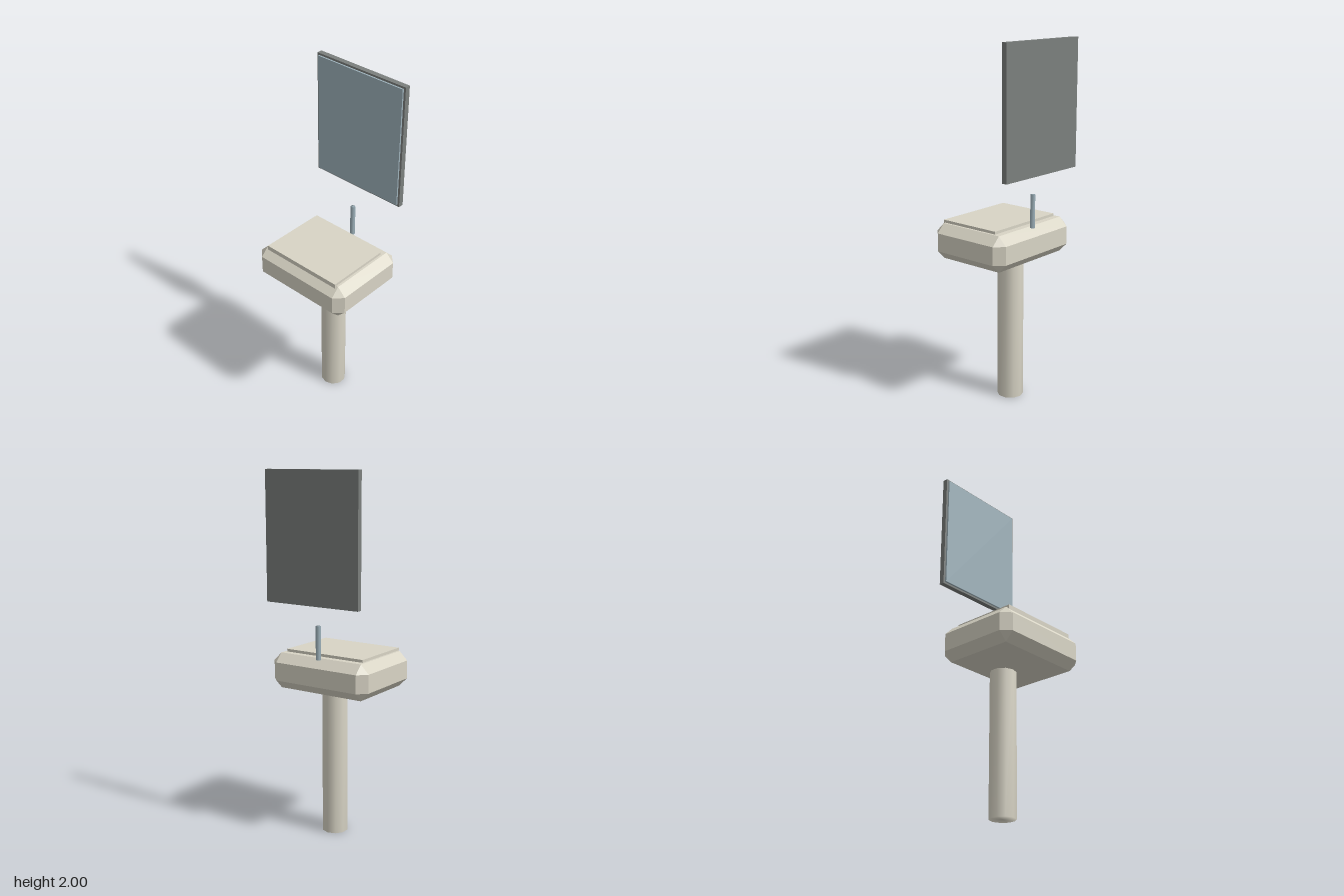
import * as THREE from 'three';
import { mergeVertices } from 'three/addons/utils/BufferGeometryUtils.js';
import { ConvexGeometry } from 'three/addons/geometries/ConvexGeometry.js';

const material = (name, color) => {
  const m = new THREE.MeshStandardMaterial({ color });
  m.name = name;
  return m;
};

// Cylinder with normals shared between the side and the caps
function softCylinder(radius, height, sides) {
  let g = new THREE.CylinderGeometry(radius, radius, height, sides);
  g.deleteAttribute('uv');
  g.deleteAttribute('normal');
  g = mergeVertices(g, 1e-4);
  g.computeVertexNormals();
  return g;
}

// Box with every edge cut by a single flat chamfer
function chamferedBox(width, height, depth, cut) {
  const half = [width / 2, height / 2, depth / 2];
  const points = [];
  for (const sx of [-1, 1]) for (const sy of [-1, 1]) for (const sz of [-1, 1]) {
    for (let axis = 0; axis < 3; axis++) {
      const p = half.map((h, i) => (i === axis ? h : h - cut));
      points.push(new THREE.Vector3(sx * p[0], sy * p[1], sz * p[2]));
    }
  }
  return new ConvexGeometry(points);
}

export function createModel() {
  const group = new THREE.Group();
  group.name = 'washstand';
  const ceramic = material('ceramic', 0xd8d4c5);
  const glass = material('blue glass', 0x9db1ba);
  const frame = material('dark frame', 0x7b7f7d);

  const add = (name, geometry, mat, x, y, z) => {
    const mesh = new THREE.Mesh(geometry, mat);
    mesh.name = name;
    mesh.position.set(x, y, z);
    group.add(mesh);
  };

  // Pedestal and basin
  add('pedestal', softCylinder(0.0725, 0.8, 10), ceramic, 0, 0.4, -0.043);
  add('basin', chamferedBox(0.613, 0.197, 0.49, 0.048), ceramic, 0, 0.9185, 0.014);
  add('basinTop', new THREE.BoxGeometry(0.492, 0.026, 0.369), ceramic, 0, 1.019, 0.0375);

  // Tap
  add('tap', softCylinder(0.014, 0.183, 6), glass, 0, 1.1015, -0.197);

  // Mirror
  add('mirrorFrame', new THREE.BoxGeometry(0.577, 0.694, 0.03), frame, 0, 1.653, -0.246);
  add('mirrorGlass', new THREE.BoxGeometry(0.553, 0.672, 0.009), glass, 0, 1.653, -0.2265);

  return group;
}
